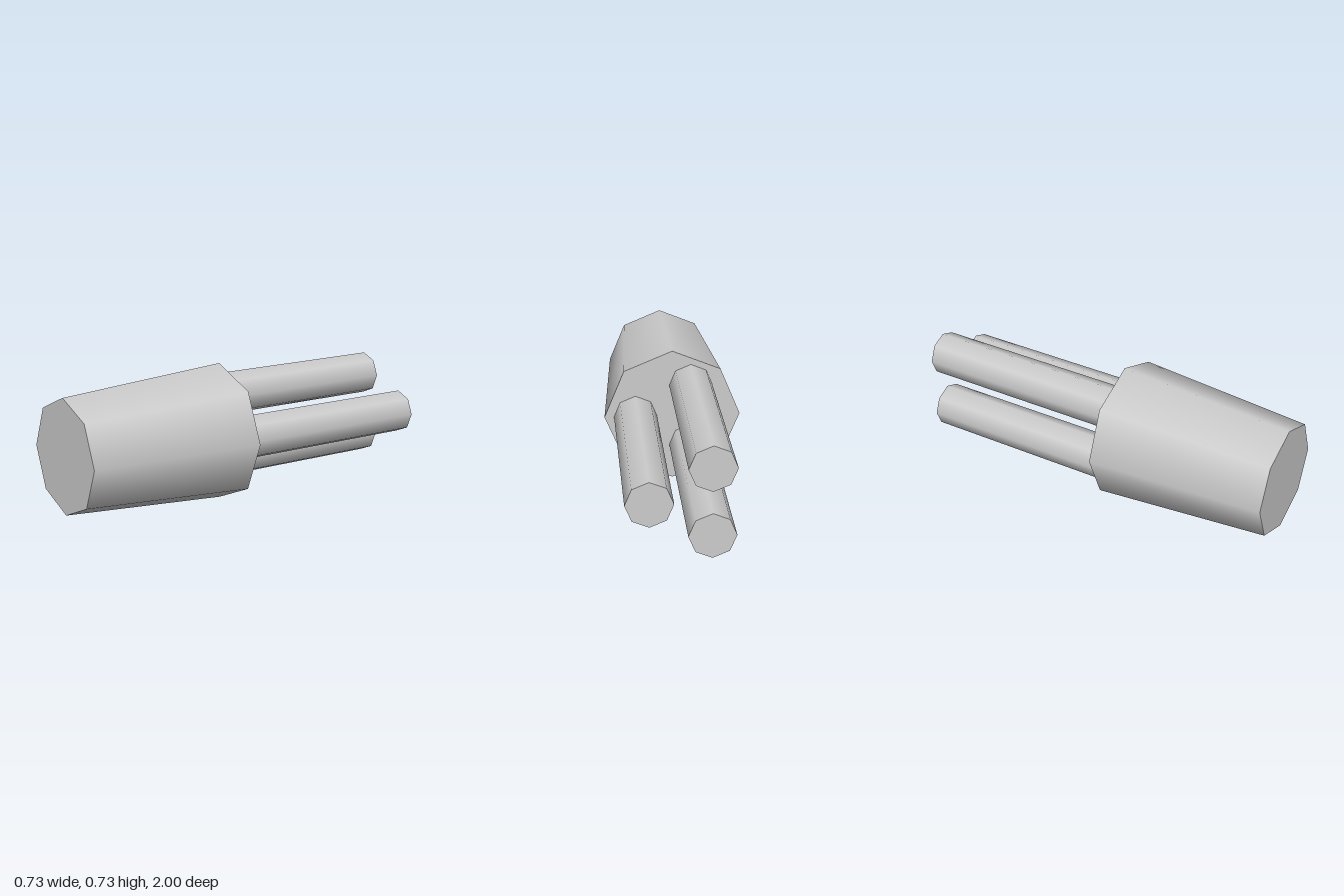
import * as THREE from 'three';

export function createModel() {
  const group = new THREE.Group();
  const grey = new THREE.MeshStandardMaterial({ color: 0xcccccc });
  grey.name = 'light grey';
  const centerY = 0.364;
  const joinZ = 0.08;

  // Eight-sided smooth cylinder lying along z, from zBack to zFront
  function rod(name, rFront, rBack, zBack, zFront, x, y) {
    const geometry = new THREE.CylinderGeometry(rFront, rBack, zFront - zBack, 8);
    geometry.rotateX(Math.PI / 2);
    const mesh = new THREE.Mesh(geometry, grey);
    mesh.name = name;
    mesh.position.set(x, y, (zBack + zFront) / 2);
    group.add(mesh);
  }

  // Tapered body, widest where the prongs leave it
  rod('body', 0.297, 0.363, joinZ, 1, 0, centerY);

  // Three prongs evenly spaced around the axis
  for (let i = 0; i < 3; i++) {
    const a = (i * Math.PI * 2) / 3;
    rod('prong' + (i + 1), 0.115, 0.115, -1, joinZ + 0.005,
      0.197 * Math.cos(a), centerY + 0.197 * Math.sin(a));
  }
  return group;
}
